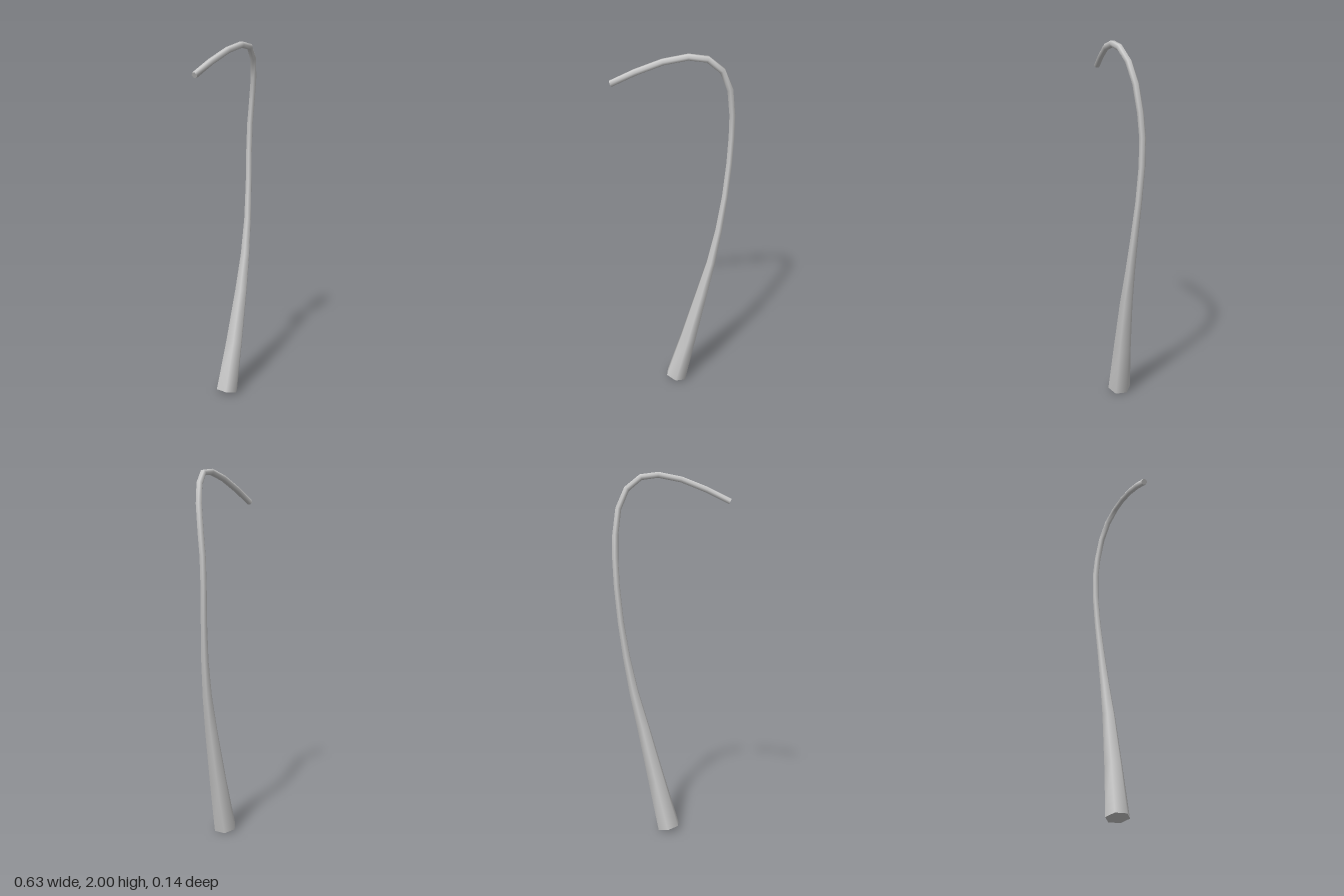
import * as THREE from 'three';

const SIDES = 6;

// Centre line of the curved stem: x, y, z, radius
const RINGS = [
  [0.021, 0.014, 0.000, 0.065],
  [0.092, 0.300, -0.001, 0.050],
  [0.164, 0.600, -0.006, 0.036],
  [0.213, 0.800, -0.015, 0.027],
  [0.251, 1.000, -0.027, 0.021],
  [0.279, 1.200, -0.042, 0.018],
  [0.296, 1.390, -0.053, 0.0175],
  [0.303, 1.540, -0.053, 0.0175],
  [0.303, 1.665, -0.041, 0.0175],
  [0.288, 1.803, -0.020, 0.0175],
  [0.246, 1.907, 0.006, 0.0175],
  [0.173, 1.970, 0.034, 0.0175],
  [0.079, 1.983, 0.049, 0.0175],
  [-0.046, 1.958, 0.055, 0.0175],
  [-0.185, 1.903, 0.053, 0.0175],
  [-0.309, 1.842, 0.050, 0.0175],
];

// Corners of each cross-section, square to the centre line
function makeRings() {
  const centres = RINGS.map(([x, y, z]) => new THREE.Vector3(x, y, z));
  const last = centres.length - 1;
  return centres.map((c, i) => {
    const before = c.clone().sub(centres[Math.max(i - 1, 0)]).normalize();
    const after = centres[Math.min(i + 1, last)].clone().sub(c).normalize();
    const t = before.add(after).normalize();
    const b = new THREE.Vector3(0, 0, 1).addScaledVector(t, -t.z).normalize();
    const n = t.clone().cross(b);
    return Array.from({ length: SIDES }, (_, j) => {
      const a = (j / SIDES) * Math.PI * 2;
      return c.clone()
        .addScaledVector(b, Math.cos(a) * RINGS[i][3])
        .addScaledVector(n, Math.sin(a) * RINGS[i][3]);
    });
  });
}

function makeMesh(name, points, index) {
  const geometry = new THREE.BufferGeometry().setFromPoints(points);
  geometry.setIndex(index);
  geometry.computeVertexNormals();
  const mesh = new THREE.Mesh(geometry, new THREE.MeshStandardMaterial({ color: 0xcccccc }));
  mesh.name = name;
  return mesh;
}

// Flat end face; flip turns it to face backwards along the stem
function makeCap(name, ring, flip) {
  const index = [];
  for (let j = 1; j < SIDES - 1; j++) index.push(0, flip ? j + 1 : j, flip ? j : j + 1);
  return makeMesh(name, ring, index);
}

export function createModel() {
  const group = new THREE.Group();
  group.name = 'curvedStem';
  const rings = makeRings();

  // Smooth six-sided wall from base to drooping tip
  const index = [];
  for (let i = 0; i < rings.length - 1; i++) {
    for (let j = 0; j < SIDES; j++) {
      const k = (j + 1) % SIDES;
      const a = i * SIDES + j, b = i * SIDES + k;
      index.push(a, b, b + SIDES, a, b + SIDES, a + SIDES);
    }
  }
  group.add(makeMesh('stem', rings.flat(), index));

  // End faces
  group.add(makeCap('baseCap', rings[0], true));
  group.add(makeCap('tipCap', rings[rings.length - 1], false));
  return group;
}
